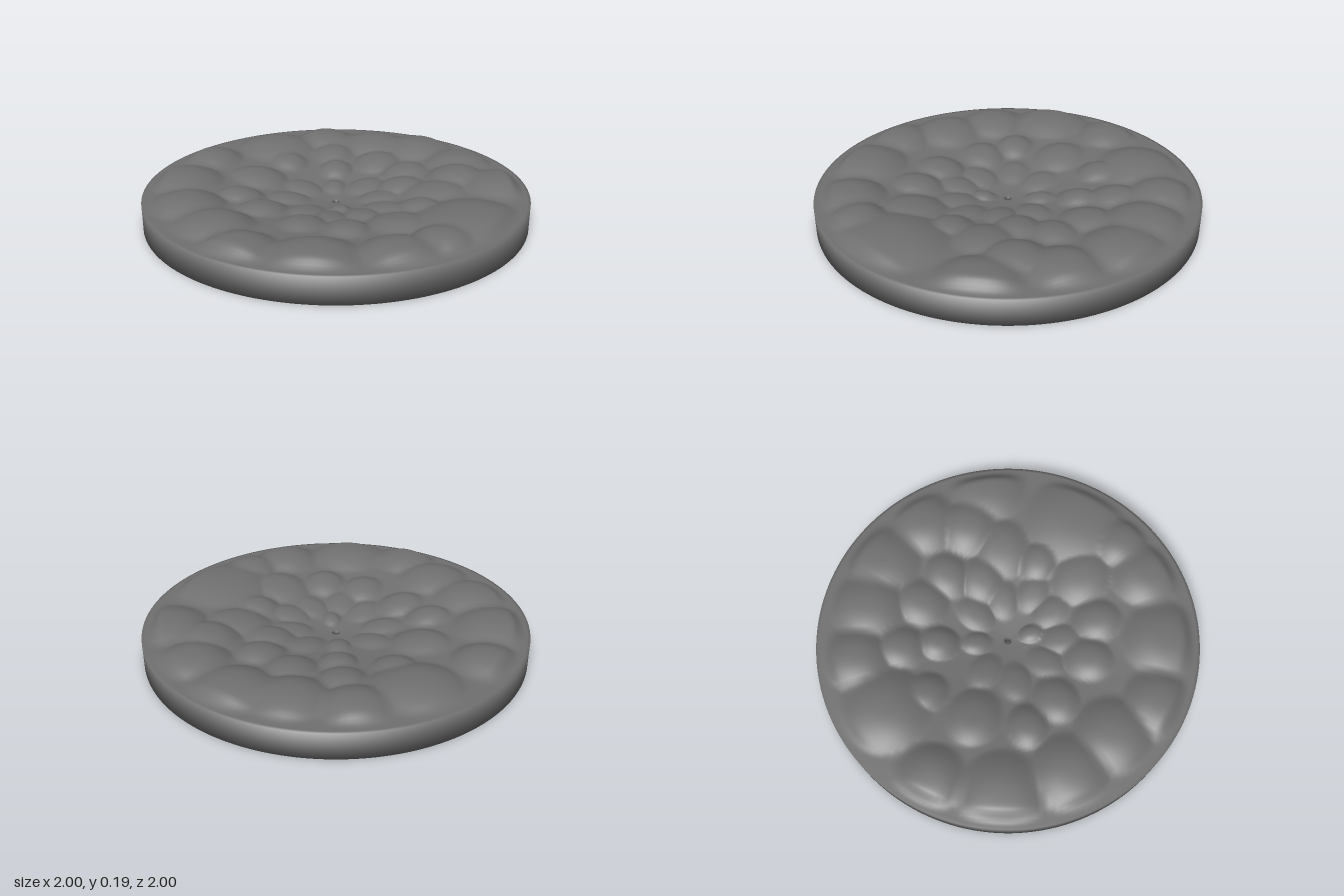
import * as THREE from 'three';

const SEGMENTS = 180, RINGS = 64;
const HOLE = 0.012, RIM_Y = 0.135;

// Rounded lumps: x, z, radius
const outerLumps = [
  [-0.42, -0.73, 0.16], [0, -0.74, 0.21], [0.32, -0.73, 0.16], [0.54, -0.53, 0.18],
  [0.73, -0.34, 0.19], [0.8, -0.02, 0.17], [0.8, 0.38, 0.2], [0.65, 0.16, 0.15],
  [0.36, 0.68, 0.26], [0.12, 0.8, 0.14], [-0.12, 0.81, 0.17], [-0.47, 0.67, 0.2],
  [-0.73, 0.44, 0.17], [-0.73, 0.15, 0.18], [-0.77, -0.14, 0.18], [-0.68, -0.48, 0.2],
];
const middleLumps = [
  [-0.03, -0.52, 0.1], [0.25, -0.5, 0.11], [0.17, -0.32, 0.09], [0.41, -0.28, 0.12],
  [0.47, -0.08, 0.11], [0.35, 0.06, 0.11], [0.44, 0.25, 0.14], [0.27, 0.37, 0.1],
  [0.07, 0.51, 0.14], [-0.18, 0.44, 0.11], [-0.33, 0.28, 0.11], [-0.42, 0.02, 0.11],
  [-0.46, -0.18, 0.1], [-0.27, -0.38, 0.13],
];
const innerLumps = [
  [0, 0.27, 0.08], [-0.16, 0.23, 0.08], [0.14, 0.25, 0.08], [0.2, 0.1, 0.08],
  [0.21, -0.07, 0.08], [0.07, -0.15, 0.06], [-0.09, -0.2, 0.08], [-0.22, -0.1, 0.08],
  [-0.22, 0.09, 0.08], [-0.04, 0.12, 0.05],
];
// Each group has its own height and its own stretch along the radius
const lumps = [[outerLumps, 0.052, 1.05], [middleLumps, 0.038, 1.15], [innerLumps, 0.022, 1.3]]
  .flatMap(([list, height, stretch]) => list.map(([x, z, radius]) => {
    const d = Math.hypot(x, z);
    return { x, z, radius, height, stretch, ux: x / d, uz: z / d };
  }));

// Height of the shallow dish with the highest lump on top
function topHeight(x, z) {
  const r = Math.hypot(x, z);
  const base = 0.05 + (RIM_Y - 0.05) * THREE.MathUtils.smoothstep(r, -0.1, 0.8);
  let bump = 0;
  for (const l of lumps) {
    const dx = x - l.x, dz = z - l.z;
    const along = (dx * l.ux + dz * l.uz) / l.stretch;
    const across = dx * l.uz - dz * l.ux;
    const d = Math.hypot(along, across) / (l.radius * 1.1);
    if (d < 1) bump = Math.max(bump, l.height * (1 - d ** 2.6) ** 1.2);
  }
  return base + bump * (1 - THREE.MathUtils.smoothstep(r, 0.9, 0.98));
}

function discGeometry() {
  // Radii from the underside hole, out to the rim, then back in over the top
  const radii = [HOLE, 1];
  for (let i = 0; i <= RINGS; i++) radii.push(1 + (HOLE - 1) * i / RINGS);
  const rows = radii.length;
  const positions = [], indices = [];
  radii.forEach((r, i) => {
    for (let j = 0; j < SEGMENTS; j++) {
      const a = j / SEGMENTS * Math.PI * 2;
      const x = r * Math.sin(a), z = r * Math.cos(a);
      positions.push(x, i < 2 ? 0 : topHeight(x, z), z);
      const k = (j + 1) % SEGMENTS, next = (i + 1) % rows;
      const A = i * SEGMENTS + j, B = i * SEGMENTS + k;
      const C = next * SEGMENTS + j, D = next * SEGMENTS + k;
      indices.push(A, B, D, A, D, C);
    }
  });
  const geometry = new THREE.BufferGeometry();
  geometry.setAttribute('position', new THREE.Float32BufferAttribute(positions, 3));
  geometry.setIndex(indices);
  geometry.computeVertexNormals();

  // Soft, evenly blended edges at the hole, lower rim and upper rim
  const normal = geometry.attributes.normal;
  [[-1, -1], [1, -1], [1, 1]].forEach(([out, up], i) => {
    for (let j = 0; j < SEGMENTS; j++) {
      const a = j / SEGMENTS * Math.PI * 2, s = Math.SQRT1_2;
      normal.setXYZ(i * SEGMENTS + j, out * s * Math.sin(a), up * s, out * s * Math.cos(a));
    }
  });
  return geometry;
}

export function createModel() {
  const stone = new THREE.MeshStandardMaterial({ color: 0x707070 });
  stone.name = 'stoneGrey';
  const group = new THREE.Group();
  group.name = 'lumpyDisc';
  const disc = new THREE.Mesh(discGeometry(), stone);
  disc.name = 'cobbledDisc';
  group.add(disc);
  return group;
}
